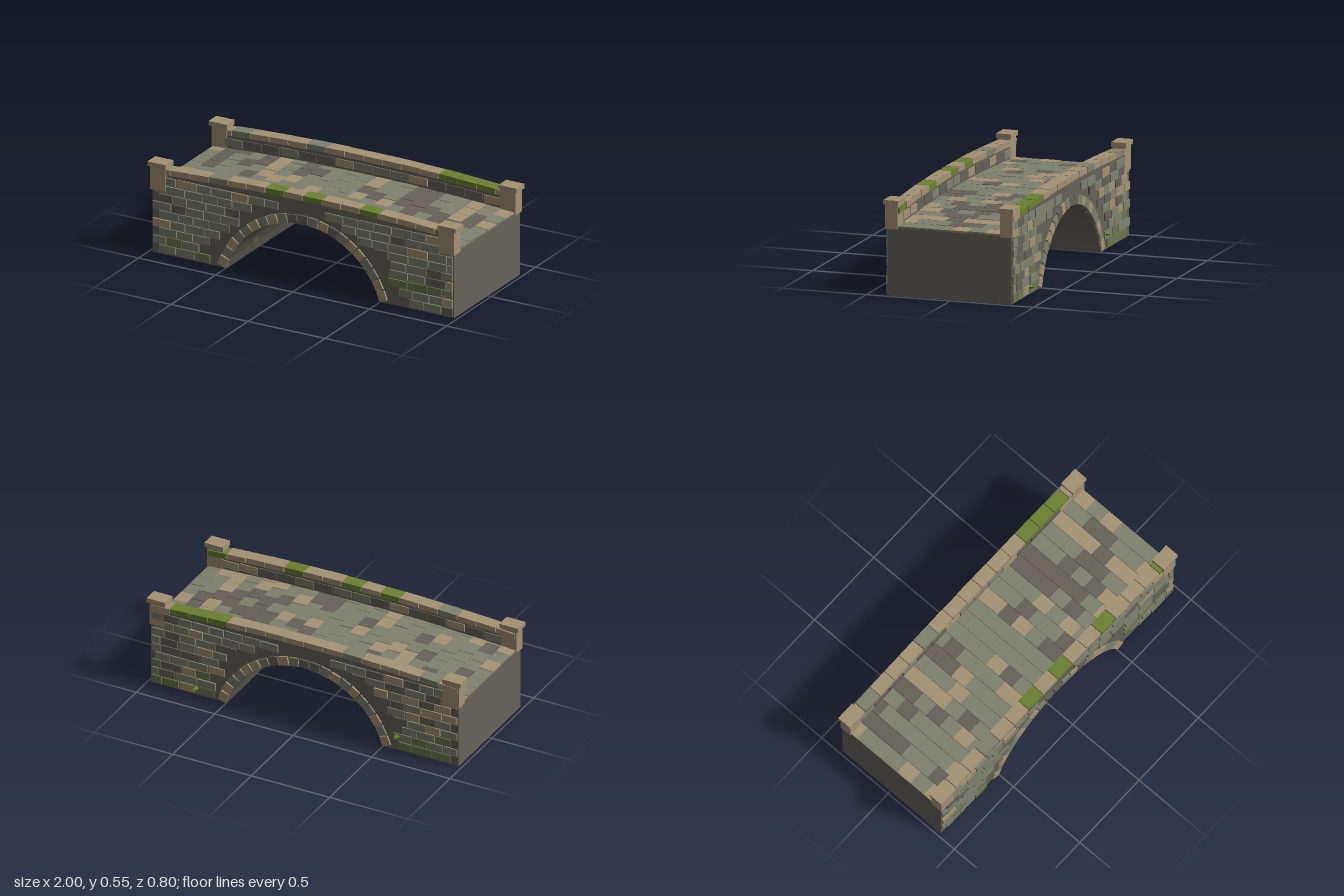
import * as THREE from 'three';

const mat = (name, color) => {
  const m = new THREE.MeshStandardMaterial({ color });
  m.name = name;
  return m;
};

export function createModel() {
  const bridge = new THREE.Group();
  bridge.name = 'stoneBridge';
  const M = {
    D: mat('darkStone', 0x66625a),
    G: mat('greyStone', 0x7f816f),
    T: mat('tanStone', 0xa39374),
    M: mat('moss', 0x6c8033),
    W: mat('mossyStone', 0x6c7651),
  };

  // Small seeded random
  let seed = 11;
  const rnd = () => (seed = (seed * 16807) % 2147483647) / 2147483647;

  const HALF = 0.98, FRONT = 0.38, BACK = -0.36;
  const ARCH_Y = -0.153, ARCH_R = 0.523, A0 = 0.297;
  const deckY = (x) => 0.424 - 0.032 * (x / HALF) ** 2;
  const wallY = (x) => 0.513 - 0.035 * (x / HALF) ** 2;

  const group = (name) => {
    const g = new THREE.Group();
    g.name = name;
    bridge.add(g);
    return g;
  };
  const box = (parent, name, m, w, h, d, x, y, z, rz = 0) => {
    const b = new THREE.Mesh(new THREE.BoxGeometry(w, h, d), M[m]);
    b.name = name;
    b.position.set(x, y, z);
    b.rotation.z = rz;
    parent.add(b);
    return b;
  };
  const extrude = (name, points, z0, z1) => {
    const shape = new THREE.Shape(points.map(([x, y]) => new THREE.Vector2(x, y)));
    const geo = new THREE.ExtrudeGeometry(shape, { depth: z1 - z0, bevelEnabled: false });
    const mesh = new THREE.Mesh(geo, M.D);
    mesh.name = name;
    mesh.position.z = z0;
    bridge.add(mesh);
  };
  const sample = (n, f) => Array.from({ length: n + 1 }, (_, i) => f(i / n));

  // Solid body with the arch opening
  const soffit = sample(20, (t) => {
    const a = Math.PI - A0 - t * (Math.PI - 2 * A0);
    return [ARCH_R * Math.cos(a), ARCH_Y + ARCH_R * Math.sin(a)];
  });
  const deckLine = sample(16, (t) => [HALF - 2 * HALF * t, deckY(HALF - 2 * HALF * t)]);
  extrude('bridgeBody', [[-HALF, 0], ...soffit, [HALF, 0], ...deckLine], BACK, FRONT);

  // Parapet walls
  const parapet = [
    ...sample(16, (t) => [-HALF + 2 * HALF * t, deckY(-HALF + 2 * HALF * t) - 0.01]),
    ...sample(16, (t) => [HALF - 2 * HALF * t, wallY(HALF - 2 * HALF * t)]),
  ];
  extrude('frontParapet', parapet, 0.32, FRONT);
  extrude('backParapet', parapet, BACK, -0.3);

  // Deck paving, one string per column from back to front
  const paving = [
    'TGGGTGT', 'DDDGGDG', 'DGGGGGT', 'GDGGGGG', 'DDGDGTG', 'TTTGDGG', 'GGGTGGG', 'DDTGGGG',
    'GDGGGTT', 'GGGTDGG', 'GGGGGGG', 'GGGGGGG', 'TTDTGDD', 'GGDGGDD', 'GGGTGTG', 'DDDGDGG',
    'DDDDDGT', 'GGDGDTT', 'GGGDDGG', 'TTTDTTT', 'GGDDGGT', 'TGTGGGG',
  ];
  const deck = group('deckPaving');
  const colW = (2 * HALF) / paving.length;
  paving.forEach((col, i) => {
    const x = -HALF + (i + 0.5) * colW;
    const tilt = Math.atan(-0.064 * x / HALF ** 2);
    const shift = i % 2 ? 0.05 : 0;
    [...col].forEach((c, j) => {
      const z0 = Math.max(-0.3, -0.35 + shift + j * 0.1);
      const z1 = j === 6 ? 0.32 : -0.25 + shift + j * 0.1;
      if (z1 - z0 < 0.01) return;
      box(deck, 'paver', c, colW - 0.002, 0.016, z1 - z0 - 0.002,
        x, deckY(x) + 0.001 + rnd() * 0.003, (z0 + z1) / 2, tilt);
    });
  });

  // Facing stones in staggered courses, kept clear of the arch ring
  const clearOfArch = (x0, x1, y0) => {
    const near = x0 * x1 < 0 ? 0 : Math.min(Math.abs(x0), Math.abs(x1));
    return Math.hypot(near, y0 - ARCH_Y) > ARCH_R + 0.06;
  };
  for (const [name, face, side] of [['frontStones', FRONT, 1], ['backStones', BACK, -1]]) {
    const g = group(name);
    for (let row = 0; row < 9; row++) {
      const y0 = 0.011 + row * 0.0518;
      let x = -0.975 + (row % 2 ? 0 : 0.04);
      while (x < 0.95) {
        const w = 0.085 + rnd() * 0.05;
        const x1 = Math.min(x + w, 0.975);
        const r = rnd();
        const mossy = row < 3 && rnd() < 0.38;
        const c = mossy ? 'W' : r < 0.14 ? 'T' : r < 0.3 ? 'D' : 'G';
        const proud = 0.006 + rnd() * 0.006;
        if (x1 - x > 0.03 && clearOfArch(x, x1, y0)) {
          box(g, 'facingStone', c, x1 - x - 0.006, 0.046, proud + 0.01,
            (x + x1) / 2, y0 + 0.023, face + side * (proud - 0.01) / 2);
        }
        x = x1;
      }
    }
  }

  // Scattered stones on the inner parapet faces
  const inner = group('innerParapetStones');
  for (const [face, side] of [[0.32, -1], [-0.3, 1]]) {
    for (let i = 0; i < 15; i++) {
      const x = -0.84 + i * 0.12;
      box(inner, 'innerStone', rnd() < 0.15 ? 'T' : rnd() < 0.35 ? 'D' : 'G', 0.112, 0.046, 0.008,
        x, deckY(x) + 0.046, face + side * 0.002);
    }
  }

  // Arch ring blocks on both faces
  const ring = 'TGTGGTGTGDDGTDGTTGGTT';
  for (const [name, z] of [['frontArchRing', FRONT - 0.006], ['backArchRing', BACK + 0.006]]) {
    const g = group(name);
    [...ring].forEach((c, i) => {
      const a = Math.PI - A0 - ((i + 0.5) / ring.length) * (Math.PI - 2 * A0);
      const r = ARCH_R + 0.027;
      box(g, 'archBlock', c, 0.06, 0.05 + rnd() * 0.006, 0.034,
        r * Math.cos(a), ARCH_Y + r * Math.sin(a), z, a - Math.PI / 2);
    });
  }

  // Coping blocks along both parapets
  for (const [name, colours, z] of [
    ['frontCoping', 'TTTGTTMTMTTMTTTM', 0.347],
    ['backCoping', 'TGTTTGTTTTTTMMMT', -0.335],
  ]) {
    const g = group(name);
    [...colours].forEach((c, i) => {
      const w = (2 * HALF) / colours.length;
      const x = -HALF + (i + 0.5) * w;
      box(g, 'copingBlock', c, w - 0.004, 0.034, 0.074 + rnd() * 0.006,
        x, wallY(x) + 0.014 + rnd() * 0.003, z, Math.atan(-0.07 * x / HALF ** 2));
    });
  }

  // Corner posts with caps
  for (const sx of [-1, 1]) {
    for (const z of [0.355, -0.332]) {
      const g = group('cornerPost');
      box(g, 'post', 'T', 0.1, 0.143, 0.074, sx * 0.937, 0.456, z);
      box(g, 'postCap', 'T', 0.118, 0.027, 0.088, sx * 0.941, 0.539, z);
    }
  }

  // Moss tufts on the back wall
  for (const [x, y] of [[-0.59, 0.09], [0.69, 0.045]]) {
    const tuft = new THREE.Mesh(new THREE.ConeGeometry(0.022, 0.034, 5).toNonIndexed(), M.M);
    tuft.geometry.computeVertexNormals();
    tuft.name = 'mossTuft';
    tuft.rotation.x = -Math.PI / 2;
    tuft.scale.z = 0.7;
    tuft.position.set(x, y, -0.38);
    bridge.add(tuft);
  }

  // Lichen patches under the arch
  for (const [angle, z, len] of [[2.72, 0.1, 0.05], [2.32, 0.07, 0.03]]) {
    const patch = new THREE.Mesh(new THREE.SphereGeometry(1, 10, 6), M.W);
    patch.name = 'lichenPatch';
    patch.scale.set(0.006, len, 0.03);
    patch.rotation.z = angle;
    patch.position.set(ARCH_R * Math.cos(angle), ARCH_Y + ARCH_R * Math.sin(angle), z);
    bridge.add(patch);
  }

  return bridge;
}
